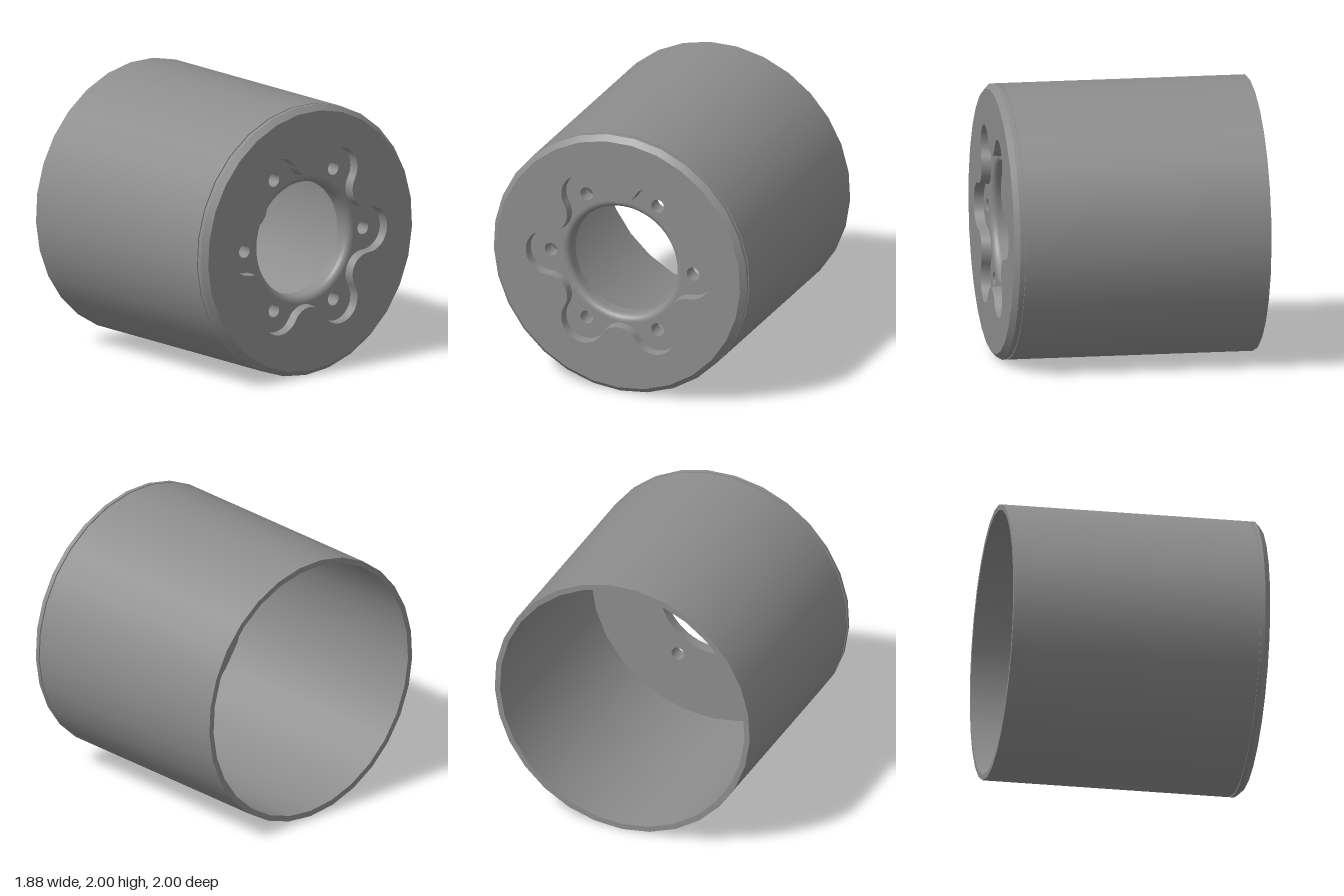
import * as THREE from 'three';

const SIDES = 29, R = 1.0015, WALL = 0.96;    // outer cylinder
const BACK = -0.94, FRONT = 0.94;             // along the cylinder axis
const FLOOR = 0.87, INNER = 0.75;             // pocket floor, inside of the end wall
const BORE = 0.42, FILLET = 0.05;
const BOLT_CIRCLE = 0.56, BOLT = 0.05;

// Points on a circular arc
function arc(cx, cy, r, from, to, n) {
  return Array.from({ length: n }, (_, i) => {
    const a = from + (to - from) * i / n;
    return new THREE.Vector2(cx + r * Math.cos(a), cy + r * Math.sin(a));
  });
}
const circle = (cx, cy, r, n = 48) => arc(cx, cy, r, -Math.PI / 2, Math.PI * 1.5, n);

// Six-lobed outline: tangent convex lobes and concave valleys
function lobedOutline(inset) {
  const pts = [], valley = 0.64, half = THREE.MathUtils.degToRad(91);
  for (let k = 0; k < 6; k++) {
    const a = k * Math.PI / 3, v = a + Math.PI / 6;
    pts.push(...arc(BOLT_CIRCLE * Math.cos(a), BOLT_CIRCLE * Math.sin(a), 0.17 - inset, a - half, a + half, 20));
    const s = half - Math.PI / 6 + Math.PI;
    pts.push(...arc(valley * Math.cos(v), valley * Math.sin(v), 0.15 + inset, v + s, v + 2 * Math.PI - s, 14));
  }
  return pts;
}

// Revolved surface about z; profile is [radius, z]
function revolve(profile, sides) {
  const g = new THREE.LatheGeometry(profile.map(p => new THREE.Vector2(p[0], p[1])), sides);
  return g.rotateX(Math.PI / 2);
}

// Flat plate with holes at height z
function plate(outline, holes, z, flip = false) {
  const shape = new THREE.Shape(outline);
  holes.forEach(h => shape.holes.push(new THREE.Path(h)));
  const g = new THREE.ShapeGeometry(shape);
  if (flip) g.rotateY(Math.PI);
  return g.translate(0, 0, z);
}

// Inward-facing wall joining two matching outlines
function innerWall(top, zTop, bottom, zBottom) {
  const n = top.length, pos = [], idx = [];
  top.forEach(p => pos.push(p.x, p.y, zTop));
  bottom.forEach(p => pos.push(p.x, p.y, zBottom));
  for (let i = 0; i < n; i++) {
    const j = (i + 1) % n;
    idx.push(n + i, i, n + j, i, j, n + j);
  }
  const g = new THREE.BufferGeometry();
  g.setAttribute('position', new THREE.Float32BufferAttribute(pos, 3));
  g.setIndex(idx);
  g.computeVertexNormals();
  return g;
}

export function createModel() {
  const grey = new THREE.MeshStandardMaterial({ color: 0x8c8c8c });
  grey.name = 'grey metal';
  const body = new THREE.Group();
  body.name = 'cylinderBody';
  const add = (name, geometry) => {
    const m = new THREE.Mesh(geometry, grey);
    m.name = name;
    body.add(m);
    return m;
  };

  // Outside and inside of the tube, one band per sharp edge
  const bands = [
    ['openRim', [WALL, BACK], [R, BACK]],
    ['outerWall', [R, BACK], [R, 0.86]],
    ['grooveBack', [R, 0.86], [R - 0.01, 0.86]],
    ['grooveFloor', [R - 0.01, 0.86], [R - 0.01, 0.87]],
    ['grooveFront', [R - 0.01, 0.87], [R, 0.87]],
    ['endBand', [R, 0.87], [R, 0.9]],
    ['chamfer', [R, 0.9], [0.962, FRONT]],
    ['innerWall', [WALL, INNER], [WALL, BACK]],
  ];
  bands.forEach(([name, a, b]) => add(name, revolve([a, b], SIDES)));

  // Bolt holes
  const bolts = [];
  for (let k = 0; k < 6; k++) {
    const x = BOLT_CIRCLE * Math.cos(k * Math.PI / 3), y = BOLT_CIRCLE * Math.sin(k * Math.PI / 3);
    bolts.push(circle(x, y, BOLT, 24));
    add('boltHole', revolve([[BOLT, FLOOR], [BOLT, INNER]], 24)).position.set(x, y, 0);
  }

  // End wall with its lobed pocket
  const rim = lobedOutline(0), foot = lobedOutline(0.008);
  add('endFace', plate(circle(0, 0, 0.962, SIDES), [rim], FRONT));
  add('pocketWall', innerWall(rim, FRONT, foot, FLOOR));
  add('pocketFloor', plate(foot, [circle(0, 0, BORE + FILLET, 64), ...bolts], FLOOR));
  add('endWallInside', plate(circle(0, 0, WALL, SIDES), [circle(0, 0, BORE, 64), ...bolts], INNER, true));

  // Central bore with a rounded lip
  const lip = [];
  for (let i = 0; i <= 8; i++) {
    const a = i / 8 * Math.PI / 2;
    lip.push([BORE + FILLET - FILLET * Math.sin(a), FLOOR - FILLET + FILLET * Math.cos(a)]);
  }
  add('boreLip', revolve(lip, 64));
  add('bore', revolve([[BORE, FLOOR - FILLET], [BORE, INNER]], 64));

  // Lay the axis along x
  body.rotation.y = Math.PI / 2;
  body.position.y = R;
  const model = new THREE.Group();
  model.name = 'flangedSleeve';
  model.add(body);
  return model;
}
